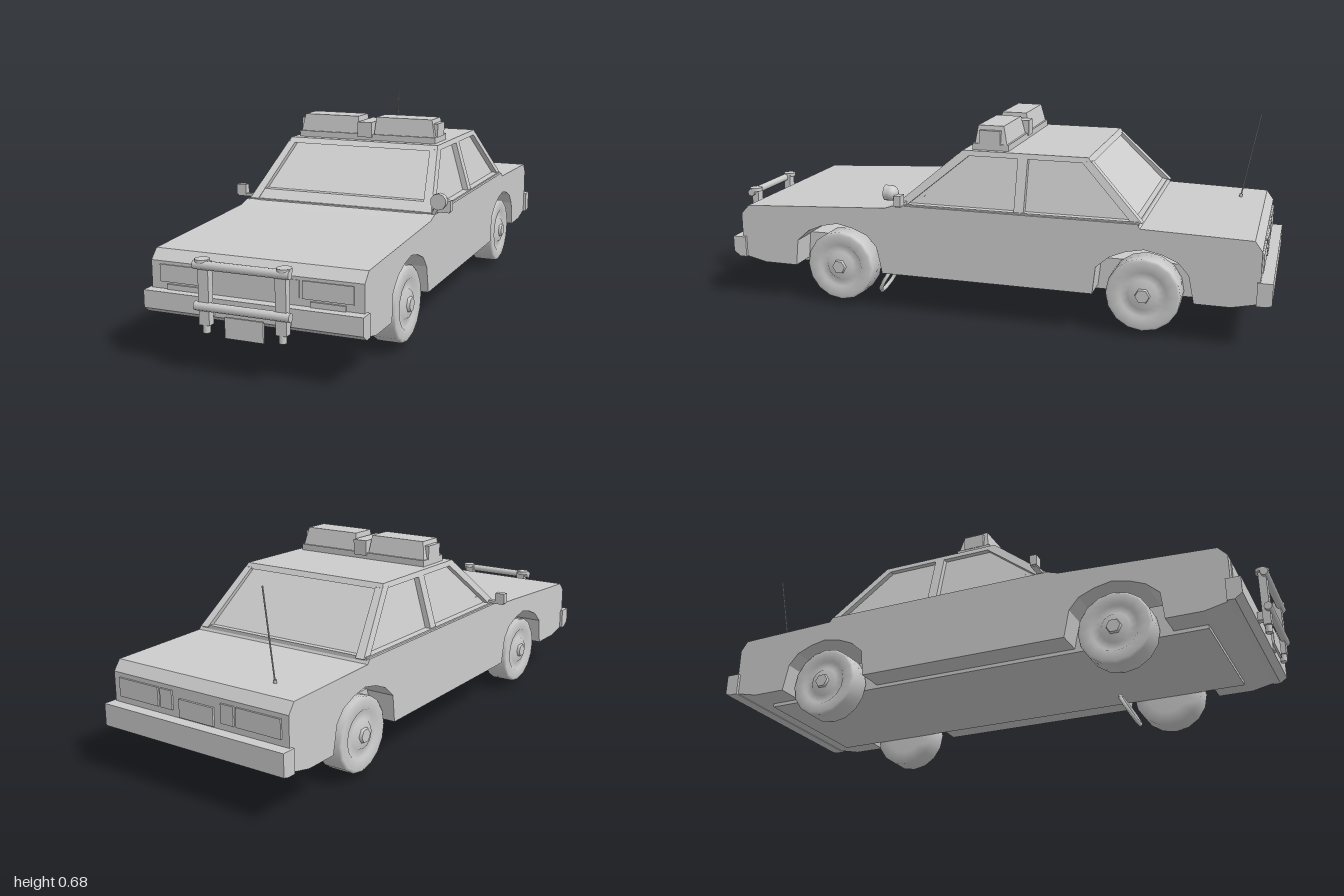
import * as THREE from 'three';

const paint = new THREE.MeshStandardMaterial({ color: 0xcccccc });
paint.name = 'light grey';

export function createModel() {
  const car = new THREE.Group();
  car.name = 'car';

  const add = (name, geo, x = 0, y = 0, z = 0) => {
    const m = new THREE.Mesh(geo, paint);
    m.name = name;
    m.position.set(x, y, z);
    car.add(m);
    return m;
  };
  // Box given by its limits
  const box = (name, x0, x1, y0, y1, z0, z1) =>
    add(name, new THREE.BoxGeometry(x1 - x0, y1 - y0, z1 - z0), (x0 + x1) / 2, (y0 + y1) / 2, (z0 + z1) / 2);
  // Solid between two level rectangles [x0, x1, z0, z1, y]
  const loft = (name, lo, hi) => {
    const g = new THREE.BoxGeometry(1, 1, 1);
    const p = g.attributes.position;
    for (let i = 0; i < p.count; i++) {
      const r = p.getY(i) > 0 ? hi : lo;
      p.setXYZ(i, p.getX(i) > 0 ? r[1] : r[0], r[4], p.getZ(i) > 0 ? r[3] : r[2]);
    }
    g.computeVertexNormals();
    return add(name, g);
  };
  // Round rod between two points
  const rod = (name, a, b, r, sides = 10) => {
    const A = new THREE.Vector3(...a), B = new THREE.Vector3(...b);
    const m = add(name, new THREE.CylinderGeometry(r, r, A.distanceTo(B), sides));
    m.position.copy(A).lerp(B, 0.5);
    m.quaternion.setFromUnitVectors(new THREE.Vector3(0, 1, 0), B.sub(A).normalize());
    return m;
  };
  // Side profile [z, y] extruded across the car
  const across = (name, pts, half) => {
    const g = new THREE.ExtrudeGeometry(new THREE.Shape(pts.map(p => new THREE.Vector2(...p))),
      { depth: half * 2, bevelEnabled: false });
    g.rotateY(-Math.PI / 2).translate(half, 0, 0);
    return add(name, g);
  };

  // Body shell with wheel arches
  const axles = [0.525, -0.58];
  const arch = c => [[0.17, 0.145], [0.16, 0.24], [0.115, 0.28], [0.06, 0.303], [0, 0.315],
    [-0.06, 0.303], [-0.115, 0.28], [-0.15, 0.24], [-0.17, 0.145]].map(([d, y]) => [c + d, y]);
  across('body', [
    [0.91, 0.165], [0.91, 0.325], [0.88, 0.357], [0.34, 0.387], [0.3, 0.4], [-0.555, 0.4], [-0.565, 0.385],
    [-0.935, 0.375], [-0.96, 0.34], [-0.96, 0.165], [-0.87, 0.145],
    ...arch(axles[1]).reverse(), ...arch(axles[0]).reverse(), [0.82, 0.145],
  ], 0.357);
  box('floorPan', -0.256, 0.256, 0.132, 0.245, -0.86, 0.81);
  box('beltLine', -0.348, 0.348, 0.385, 0.405, -0.56, 0.3);

  // Bumpers
  across('frontBumper', [[0.895, 0.162], [0.92, 0.162], [0.945, 0.18], [0.945, 0.237], [0.895, 0.237]], 0.367);
  across('rearBumper', [[-0.95, 0.16], [-0.95, 0.24], [-1, 0.24], [-1, 0.165], [-0.98, 0.16]], 0.367);

  // Cabin: glass core, sills, roof and pillars
  loft('windows', [-0.325, 0.325, -0.55, 0.278, 0.395], [-0.272, 0.272, -0.368, 0.055, 0.585]);
  loft('windshieldSill', [-0.322, 0.322, 0.24, 0.298, 0.4], [-0.315, 0.315, 0.2, 0.258, 0.434]);
  loft('roof', [-0.293, 0.293, -0.387, 0.09, 0.58], [-0.288, 0.288, -0.375, 0.07, 0.598]);
  for (const s of [1, -1]) {
    const xr = (a, b) => (s > 0 ? [a, b] : [-b, -a]);
    const pillar = (name, f, b, f2, b2) =>
      loft(name, [...xr(0.313, 0.345), b, f, 0.4], [...xr(0.264, 0.292), b2, f2, 0.585]);
    pillar('frontPillar', 0.302, 0.262, 0.086, 0.04);
    pillar('middlePillar', -0.13, -0.165, -0.13, -0.165);
    pillar('rearPillar', -0.535, -0.57, -0.35, -0.386);

    // Headlights, markers, tail lights
    box('headlight', ...xr(0.16, 0.325), 0.26, 0.315, 0.905, 0.914);
    box('frontMarker', ...xr(0.187, 0.3), 0.237, 0.254, 0.905, 0.916);
    box('tailLight', ...xr(0.16, 0.33), 0.262, 0.325, -0.966, -0.958);
    box('reverseLight', ...xr(0.1, 0.15), 0.262, 0.325, -0.966, -0.958);

    // Side mirrors
    box('mirrorArm', ...xr(0.335, 0.402), 0.405, 0.415, 0.26, 0.28);
    box('mirror', ...xr(0.37, 0.407), 0.41, 0.447, 0.258, 0.282);

    // Roof light bar lamps
    loft('roofLamp', [...xr(0.03, 0.263), -0.083, 0.033, 0.618], [...xr(0.036, 0.25), -0.068, 0.024, 0.682]);
    box('roofLampEnd', ...xr(0.25, 0.269), 0.618, 0.667, -0.06, 0.015);

    // Push bar uprights and mounts
    box('pushBarUpright', ...xr(0.11, 0.145), 0.165, 0.36, 0.962, 0.988);
    rod('pushBarBolt', [s * 0.127, 0.14, 0.975], [s * 0.127, 0.17, 0.975], 0.012);
    rod('pushBarCap', [s * 0.135, 0.354, 0.975], [s * 0.135, 0.367, 0.975], 0.024);
    box('pushBarMount', ...xr(0.115, 0.14), 0.185, 0.215, 0.93, 0.97);
  }
  box('lightBarBase', -0.267, 0.267, 0.596, 0.62, -0.09, 0.04);
  box('lightBarCentre', -0.027, 0.027, 0.61, 0.665, -0.095, 0.053);
  box('grille', -0.15, 0.15, 0.26, 0.315, 0.905, 0.912);
  for (const y of [0.35, 0.223]) rod('pushBarRail', [-0.158, y, 0.985], [0.158, y, 0.985], 0.014);
  box('frontPlate', -0.064, 0.064, 0.13, 0.195, 0.97, 0.978);
  box('rearPlate', -0.07, 0.07, 0.245, 0.305, -0.967, -0.958);

  // Wheels: tyre with recessed rim, raised hub and hexagonal nut
  const tyre = new THREE.LatheGeometry([[0, 0.258], [0.08, 0.258], [0.127, 0.262], [0.127, 0.343],
    [0.118, 0.349], [0.085, 0.349], [0.078, 0.341], [0.052, 0.341], [0.045, 0.35], [0, 0.352],
  ].map(p => new THREE.Vector2(...p)), 16).rotateZ(-Math.PI / 2);
  const nut = new THREE.CylinderGeometry(0.024, 0.028, 0.014, 6).rotateZ(-Math.PI / 2);
  for (const z of axles) {
    for (const s of [1, -1]) {
      add('wheel', tyre, 0, 0.153, z).rotation.y = s > 0 ? 0 : Math.PI;
      add('wheelNut', nut, s * 0.354, 0.153, z).rotation.y = s > 0 ? 0 : Math.PI;
    }
    rod('axle', [-0.27, 0.153, z], [0.27, 0.153, z], 0.02);
  }

  // Spotlight by the left front pillar
  rod('spotlightArm', [0.345, 0.395, 0.29], [0.375, 0.445, 0.295], 0.007, 8);
  const lamp = new THREE.SphereGeometry(0.028, 12, 8, 0, Math.PI * 2, 0, Math.PI / 2).rotateX(-Math.PI / 2);
  add('spotlightShell', lamp, 0.376, 0.45, 0.305);
  add('spotlightRim', new THREE.CylinderGeometry(0.028, 0.028, 0.02, 10).rotateX(Math.PI / 2), 0.376, 0.45, 0.314);

  // Aerial
  rod('aerial', [-0.215, 0.37, -0.845], [-0.225, 0.688, -0.903], 0.0025, 6);
  rod('aerialBase', [-0.215, 0.37, -0.845], [-0.2155, 0.388, -0.848], 0.006, 8);

  // Steering wheel ring under the floor
  add('steeringWheel', new THREE.TorusGeometry(0.063, 0.008, 6, 10), 0.157, 0.064, 0.41).rotation.x = -0.5;

  return car;
}
